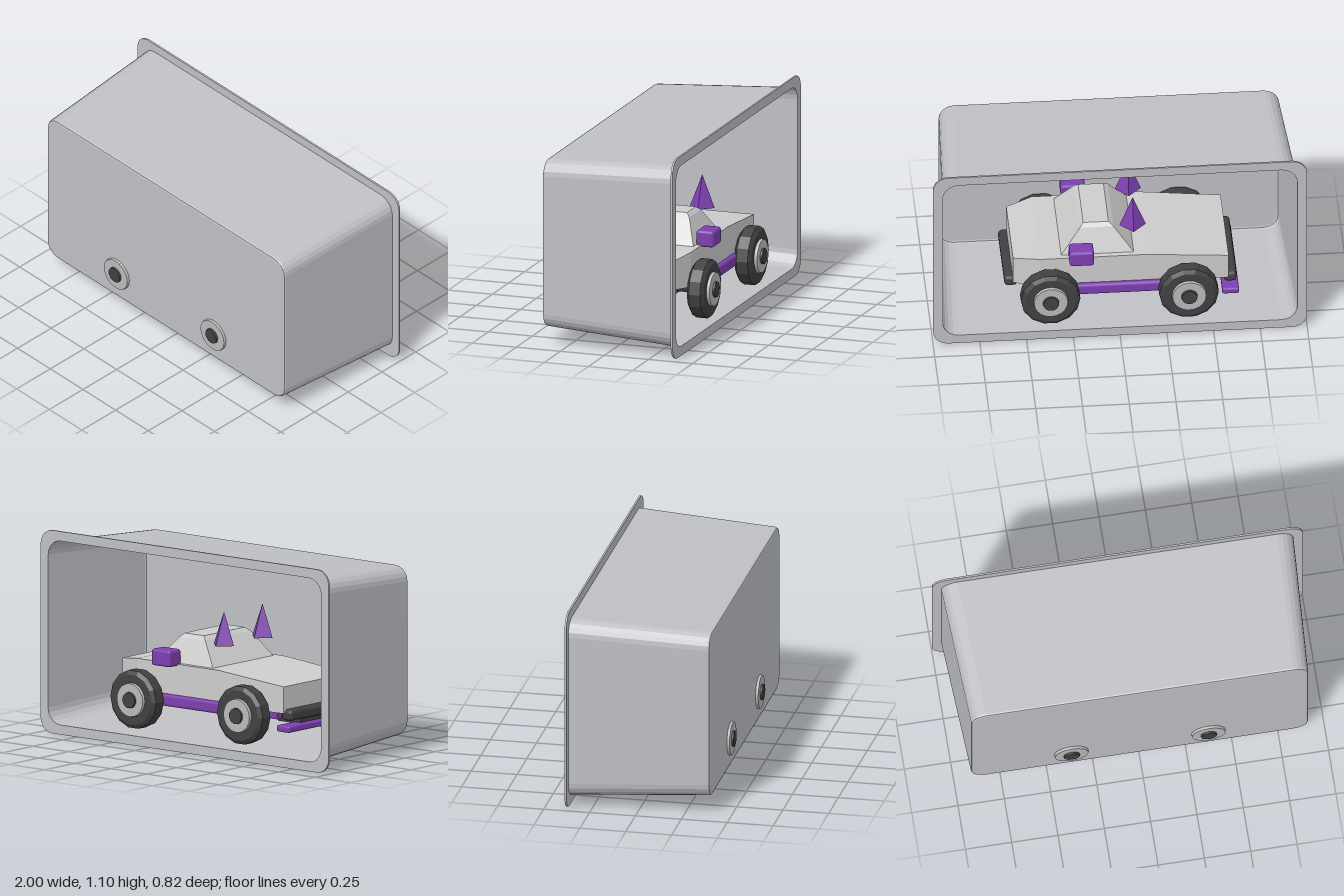
import * as THREE from 'three';
import { RoundedBoxGeometry } from 'three/addons/geometries/RoundedBoxGeometry.js';

const colour = (name, hex, side = THREE.FrontSide) => {
  const m = new THREE.MeshStandardMaterial({ color: hex, side });
  m.name = name;
  return m;
};

// Faceted normals for any geometry
function flat(geo) {
  const g = geo.index ? geo.toNonIndexed() : geo;
  g.computeVertexNormals();
  return g;
}

// Skin between rings of points, with optional flat ends
function loft(rings, capStart, capEnd) {
  const n = rings[0].length;
  const idx = [];
  for (let i = 0; i < rings.length - 1; i++) {
    for (let j = 0; j < n; j++) {
      const a = i * n + j, b = i * n + (j + 1) % n;
      idx.push(a, b, b + n, a, b + n, a + n);
    }
  }
  const last = (rings.length - 1) * n;
  for (let j = 1; j < n - 1; j++) {
    if (capStart) idx.push(0, j + 1, j);
    if (capEnd) idx.push(last, last + j, last + j + 1);
  }
  const g = new THREE.BufferGeometry();
  g.setAttribute('position', new THREE.Float32BufferAttribute(rings.flat(2), 3));
  g.setIndex(idx);
  return flat(g);
}

// Counter-clockwise rounded rectangle centred on the origin
function roundedRect(hw, hh, r, steps = 5) {
  const pts = [];
  [[1, 1], [-1, 1], [-1, -1], [1, -1]].forEach(([sx, sy], k) => {
    for (let i = 0; i <= steps; i++) {
      const a = (k + i / steps) * Math.PI / 2;
      pts.push(new THREE.Vector2(sx * (hw - r) + r * Math.cos(a), sy * (hh - r) + r * Math.sin(a)));
    }
  });
  return pts;
}

export function createModel() {
  const trayGrey = colour('tray grey', 0xbfc0c5, THREE.DoubleSide);
  const bodyGrey = colour('body grey', 0xcdcdcd);
  const hubGrey = colour('hub grey', 0xbababc);
  const black = colour('tyre black', 0x414143);
  const purple = colour('purple', 0x7d3fb0);

  const model = new THREE.Group();
  const add = (parent, name, geo, mat, x = 0, y = 0, z = 0) => {
    const m = new THREE.Mesh(geo, mat);
    m.name = name;
    m.position.set(x, y, z);
    parent.add(m);
    return m;
  };

  // Tapered tray, open at the back, with a small rounded lip at the front
  const tray = new THREE.Group();
  tray.name = 'tray';
  model.add(tray);
  const trayRings = [
    [-0.38, 0.95, 0.5, 0.085],
    [0.374, 0.91, 0.46, 0.08],
    [0.382, 0.906, 0.456, 0.078],
    [0.385, 0.898, 0.448, 0.072],
  ].map(([z, hw, hh, r]) => roundedRect(hw, hh, r).map(p => [p.x, p.y, z]));
  add(tray, 'trayShell', loft(trayRings, false, true), trayGrey, 0, 0.55, 0);

  // Flange around the opening
  const rim = new THREE.Shape(roundedRect(1, 0.55, 0.08));
  rim.holes.push(new THREE.Path(roundedRect(0.948, 0.498, 0.085).reverse()));
  add(tray, 'flange', new THREE.ExtrudeGeometry(rim, { depth: 0.01, bevelEnabled: false }), trayGrey, 0, 0.55, -0.386);

  const car = new THREE.Group();
  car.name = 'car';
  model.add(car);

  // Main body: cross-sections from nose to tail [x, half width, bottom, top]
  const bodyRings = [
    [-0.59, 0.27, 0.265, 0.41],
    [-0.15, 0.28, 0.26, 0.45],
    [0.42, 0.28, 0.26, 0.45],
    [0.56, 0.23, 0.27, 0.43],
  ].map(([x, w, lo, hi]) => [[x, lo, -w], [x, hi, -w], [x, hi, w], [x, lo, w]]);
  add(car, 'carBody', loft(bodyRings, true, true), bodyGrey);

  // Cabin: [y, half width, front x, rear x]
  const cabinRings = [
    [0.43, 0.26, -0.1, 0.32],
    [0.58, 0.19, 0.02, 0.2],
    [0.6, 0.17, 0.045, 0.18],
  ].map(([y, w, f, r]) => [[f, y, -w], [f, y, w], [r, y, w], [r, y, -w]]);
  add(car, 'cabin', loft(cabinRings, true, true), bodyGrey);

  // Underside and bumpers
  add(car, 'chassis', new THREE.BoxGeometry(0.96, 0.05, 0.38), purple, 0, 0.235, 0);
  add(car, 'frontSplitter', new RoundedBoxGeometry(0.09, 0.035, 0.58, 2, 0.01), purple, -0.6, 0.185, 0);
  add(car, 'frontBumper', new RoundedBoxGeometry(0.07, 0.06, 0.52, 2, 0.02), black, -0.6, 0.255, 0);
  add(car, 'rearBumper', new RoundedBoxGeometry(0.07, 0.06, 0.44, 2, 0.02), black, 0.57, 0.265, 0);
  add(car, 'splitterMount', new THREE.BoxGeometry(0.16, 0.05, 0.3), black, -0.53, 0.22, 0);

  // Side fittings, mirrored
  for (const s of [-1, 1]) {
    add(car, 'sideSill', new RoundedBoxGeometry(0.5, 0.065, 0.06, 2, 0.015), purple, 0, 0.25, s * 0.275);
    add(car, 'sidePod', new RoundedBoxGeometry(0.13, 0.09, 0.1, 2, 0.015), purple, 0.2, 0.485, s * 0.3);
    add(car, 'roofSpike', flat(new THREE.ConeGeometry(0.07, 0.18, 4)), purple, -0.085, 0.655, s * 0.16);
  }

  // Wheels: chamfered tyre, hub disc and cap
  const tyreProfile = [[0, -0.049], [0.13, -0.049], [0.159, -0.028], [0.159, 0.035], [0.138, 0.049], [0, 0.049]]
    .map(([r, h]) => new THREE.Vector2(r, h));
  const tyreGeo = flat(new THREE.LatheGeometry(tyreProfile, 14).rotateY(Math.PI / 14).rotateX(Math.PI / 2));
  const hubGeo = new THREE.CylinderGeometry(0.09, 0.093, 0.02, 20).rotateX(Math.PI / 2);
  const capGeo = new THREE.CylinderGeometry(0.042, 0.045, 0.02, 20).rotateX(Math.PI / 2);
  for (const x of [-0.37, 0.37]) {
    add(car, 'axle', new THREE.CylinderGeometry(0.03, 0.03, 0.6, 12).rotateX(Math.PI / 2), black, x, 0.245, 0);
    for (const s of [-1, 1]) {
      const wheel = new THREE.Group();
      wheel.name = 'wheel';
      wheel.position.set(x, 0.245, 0);
      wheel.rotation.y = s > 0 ? 0 : Math.PI;
      add(wheel, 'tyre', tyreGeo, black, 0, 0, 0.334);
      add(wheel, 'hub', hubGeo, hubGrey, 0, 0, 0.389);
      add(wheel, 'hubCap', capGeo, black, 0, 0, 0.4);
      car.add(wheel);
    }
  }

  return model;
}
